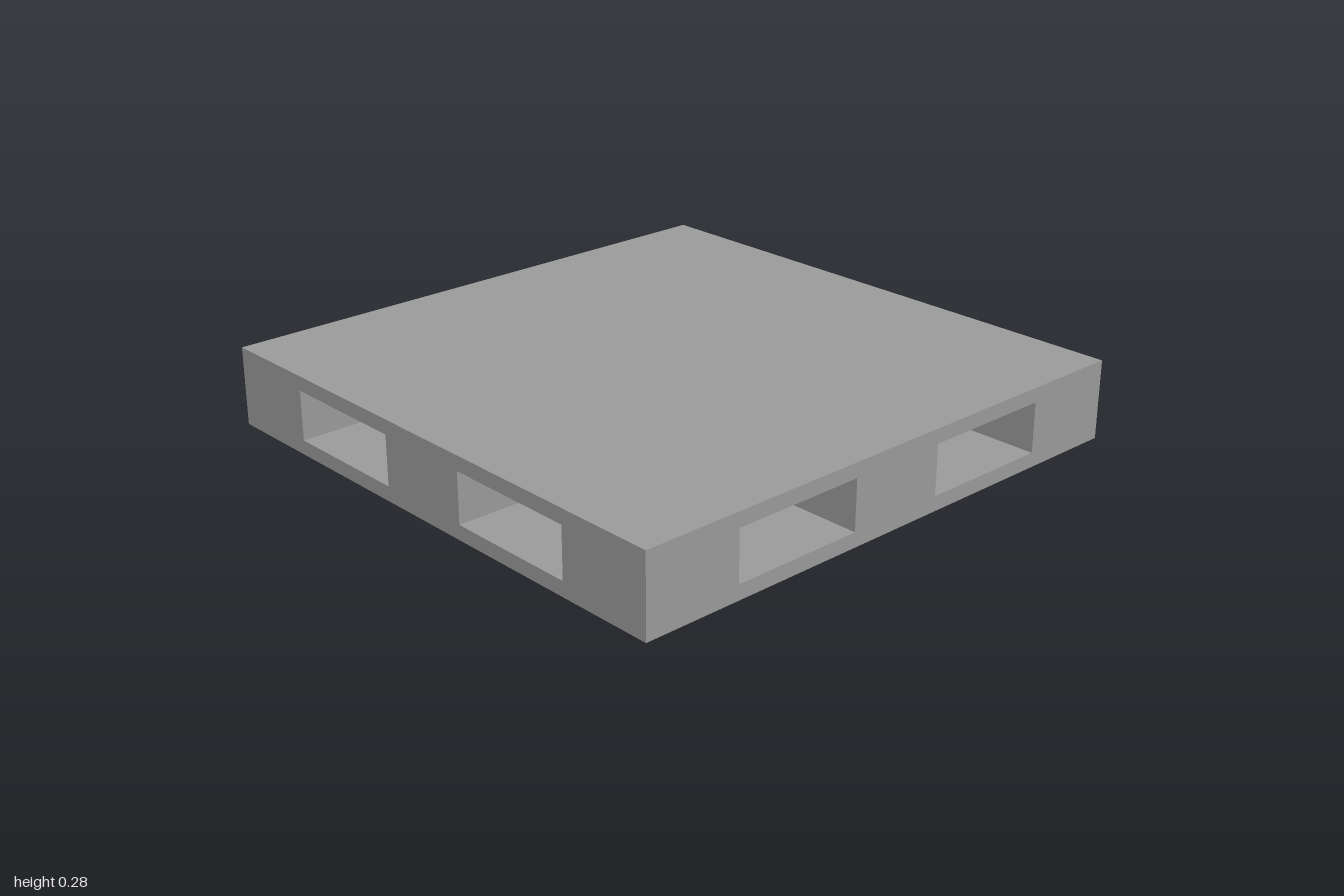
import * as THREE from 'three';

const SIZE = 2;        // deck width and depth
const HEIGHT = 0.276;  // overall height
const DECK = 0.051;    // deck thickness
const EDGE = 0.345;    // width of the outer blocks
const MIDDLE = 0.36;   // width of the centre blocks

export function createModel() {
  const pallet = new THREE.Group();
  pallet.name = 'pallet';
  const material = new THREE.MeshStandardMaterial({ color: 0x9b9b9b, flatShading: true });

  const addBox = (name, w, h, d, x, y, z) => {
    const mesh = new THREE.Mesh(new THREE.BoxGeometry(w, h, d), material);
    mesh.name = name;
    mesh.position.set(x, y, z);
    pallet.add(mesh);
  };

  // Solid decks
  addBox('bottomDeck', SIZE, DECK, SIZE, 0, DECK / 2, 0);
  addBox('topDeck', SIZE, DECK, SIZE, 0, HEIGHT - DECK / 2, 0);

  // Three by three spacer blocks, leaving two fork tunnels each way
  const offset = (SIZE - EDGE) / 2;
  const rows = [
    { name: 'Right', at: -offset, size: EDGE },
    { name: 'Centre', at: 0, size: MIDDLE },
    { name: 'Left', at: offset, size: EDGE },
  ];
  const depthNames = ['back', 'middle', 'front'];
  for (const col of rows) {
    rows.forEach((row, i) => {
      addBox(`${depthNames[i]}${col.name}Block`, col.size, HEIGHT - 2 * DECK, row.size,
        col.at, HEIGHT / 2, row.at);
    });
  }

  return pallet;
}
